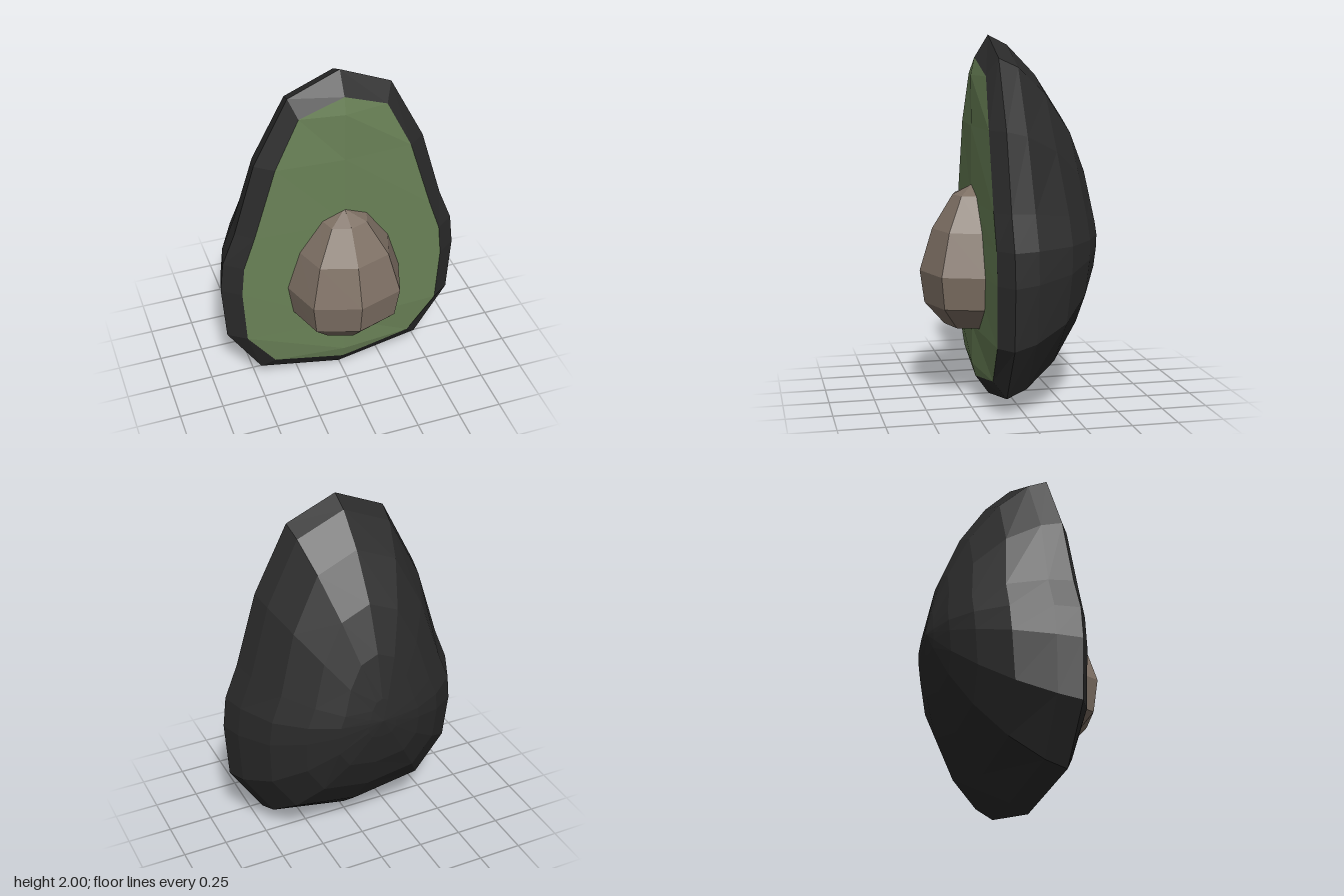
import * as THREE from 'three';

// Skin a series of equally long point rows with outward-facing faces.
function loft(rows, closed) {
  const pos = [];
  const tri = (a, b, c) => {
    if (a.distanceTo(b) < 1e-5 || b.distanceTo(c) < 1e-5 || c.distanceTo(a) < 1e-5) return;
    for (const p of [a, b, c]) pos.push(p.x, p.y, p.z);
  };
  for (let r = 0; r < rows.length - 1; r++) {
    const a = rows[r], b = rows[r + 1], n = a.length;
    for (let i = 0; i < (closed ? n : n - 1); i++) {
      const j = (i + 1) % n;
      tri(a[i], b[i], b[j]);
      tri(a[i], b[j], a[j]);
    }
  }
  const geo = new THREE.BufferGeometry();
  geo.setAttribute('position', new THREE.Float32BufferAttribute(pos, 3));
  geo.computeVertexNormals();
  return geo;
}

const V = (x, y, z) => new THREE.Vector3(x, y, z);

// Half outline (top to bottom) mirrored into a counterclockwise loop.
function loop(half) {
  const left = half.map(([x, y, z]) => V(-x, y, z));
  const right = half.slice(1, -1).reverse().map(([x, y, z]) => V(x, y, z));
  return [...left, ...right];
}

export function createModel() {
  const material = (name, color) => {
    const m = new THREE.MeshStandardMaterial({ color, flatShading: true });
    m.name = name;
    return m;
  };
  const skinMat = material('dark skin', 0x2b2b2b);
  const fleshMat = material('green flesh', 0x6a8257);
  const pitMat = material('brown pit', 0x7e7064);
  const group = new THREE.Group();
  const add = (name, geo, mat) => {
    const mesh = new THREE.Mesh(geo, mat);
    mesh.name = name;
    group.add(mesh);
  };

  // Outlines of the rim and of the cut face
  const rimZ = 0.105;
  const rim = [[0, 2], [0.28, 1.88], [0.47, 1.51], [0.59, 1.1], [0.665, 0.91],
    [0.685, 0.73], [0.665, 0.4], [0.475, 0.1], [0, 0]].map(([x, y]) => [x, y, rimZ]);
  const cut = [[0, 1.88, 0.18], [0.24, 1.785, 0.165], [0.375, 1.51, 0.178], [0.5, 1.1, 0.18],
    [0.565, 0.91, 0.178], [0.583, 0.73, 0.178], [0.565, 0.4, 0.175], [0.405, 0.18, 0.165], [0, 0.105, 0.18]];

  // Skin: bevelled rim, then shrinking rings that bulge more at the sides
  const cy = 0.93;
  const outer = loop(rim);
  const back = [[0.95, 0, -0.03], [0.8, -0.155, -0.235], [0.575, -0.31, -0.37],
    [0.345, -0.41, -0.45], [0.12, -0.47, -0.48], [0, -0.49, -0.49]];
  const rings = back.map(([s, zEnd, zSide]) => outer.map((p) => {
    const dy = p.y - cy;
    const t = dy * dy / (p.x * p.x + dy * dy);
    return V(p.x * s, cy + dy * s, THREE.MathUtils.lerp(zSide, zEnd, t));
  }));
  add('skin', loft([loop(cut), outer, ...rings], true), skinMat);

  // Flesh: shallow ridge along the middle of the cut face
  const fleshRows = cut.map(([x, y, z]) => [V(-x, y, z), V(0, y, x === 0 ? z : 0.2), V(x, y, z)]);
  add('flesh', loft(fleshRows, false), fleshMat);

  // Pit: faceted half egg as [height, half width, depth]
  const baseZ = 0.18;
  const pitRows = [[1.19, 0, 0.015], [1.135, 0.13, 0.125], [0.95, 0.257, 0.24], [0.72, 0.328, 0.31],
    [0.54, 0.3, 0.285], [0.415, 0.18, 0.175], [0.38, 0, 0.015]];
  const section = [[-1, 0], [-0.76, 0.74], [0, 1], [0.76, 0.74], [1, 0]];
  add('pit', loft(pitRows.map(([y, w, d]) =>
    section.map(([sx, sz]) => V(sx * w, y, baseZ + sz * d))), false), pitMat);

  return group;
}
